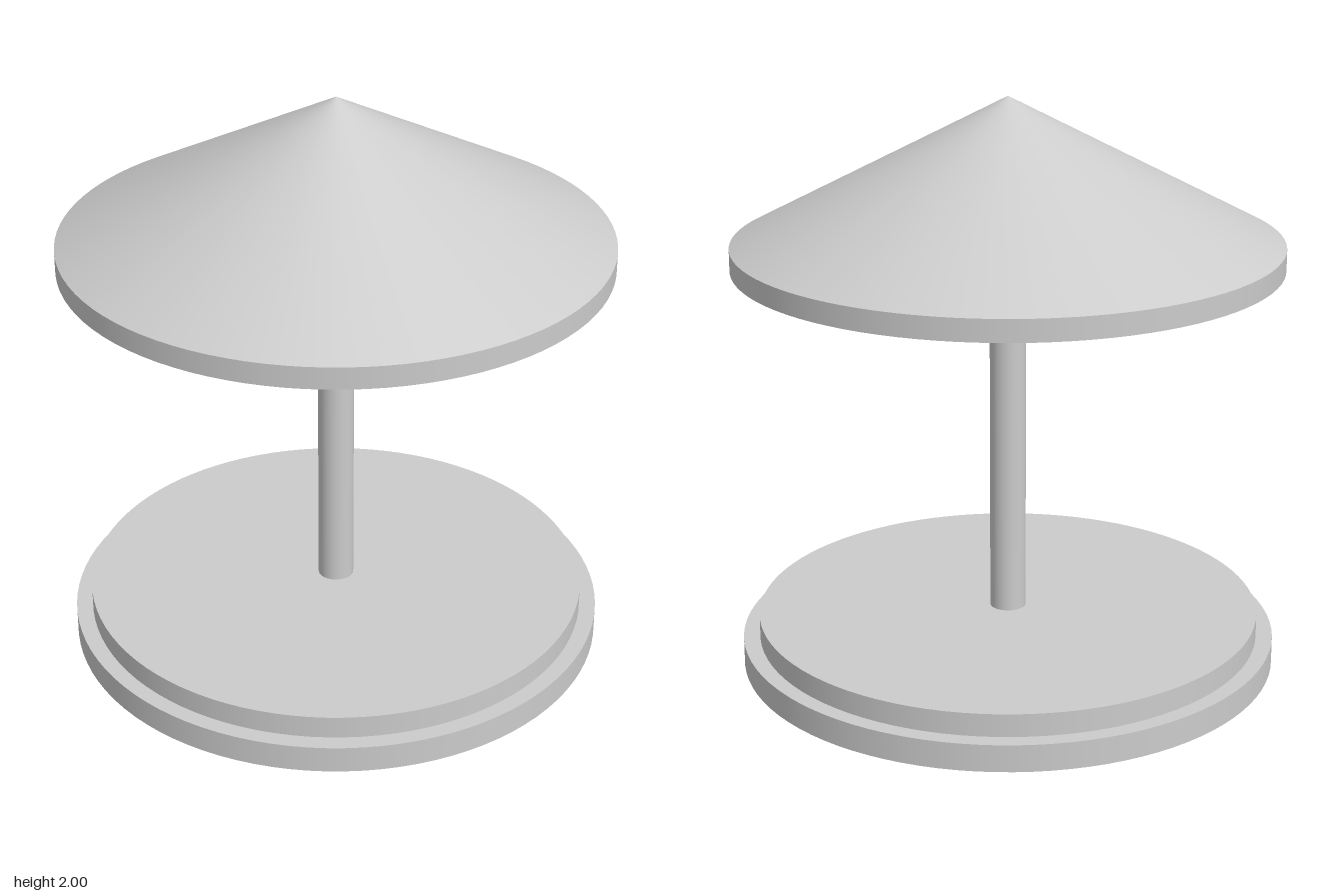
import * as THREE from 'three';

const SEGMENTS = 96;

export function createModel() {
  const model = new THREE.Group();
  model.name = 'carousel';
  const material = new THREE.MeshStandardMaterial({ color: 0xcccccc });

  // Adds a named part standing between two heights
  const add = (name, geometry, bottom, top) => {
    const mesh = new THREE.Mesh(geometry, material);
    mesh.name = name;
    mesh.position.y = (bottom + top) / 2;
    model.add(mesh);
  };
  const disc = (name, radius, bottom, top) =>
    add(name, new THREE.CylinderGeometry(radius, radius, top - bottom, SEGMENTS), bottom, top);

  // Stepped base
  disc('base', 0.9375, 0, 0.095);
  disc('platform', 0.88, 0.095, 0.175);

  // Central pole
  disc('pole', 0.0625, 0.175, 1.43);

  // Canopy: flat rim with a conical roof
  disc('canopyRim', 0.9375, 1.43, 1.505);
  add('roof', new THREE.ConeGeometry(0.9375, 0.495, SEGMENTS, 1, true), 1.505, 2);

  return model;
}
